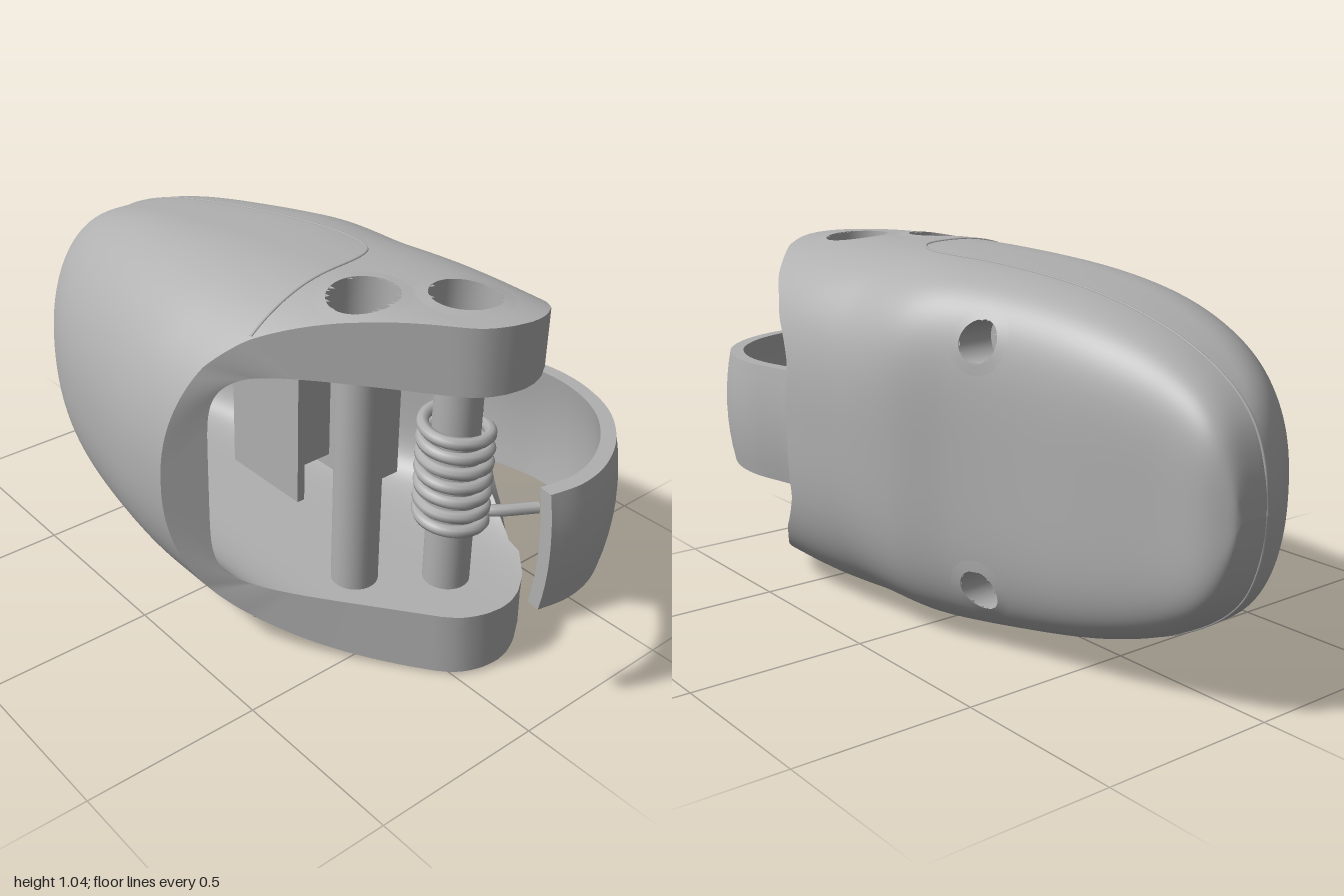
import * as THREE from 'three';
import { toCreasedNormals } from 'three/addons/utils/BufferGeometryUtils.js';

const CY = 0.52;                      // mid height of the body
const COLS = 200, ROWS = 110;
const { smoothstep } = THREE.MathUtils;

// Lookup along a table of [position, value] pairs
function table(pairs, Kind) {
  const f = new Kind(pairs.map(p => p[0]), pairs.map(p => p[1]), 1, [0]);
  return v => f.evaluate(v)[0];
}
// Profiles along z, spaced by the root of the distance from the rounded tail
function profile(pairs) {
  const f = table(pairs.map(([z, v]) => [Math.sqrt(z + 1), v]), THREE.CubicInterpolant);
  return z => f(Math.sqrt(Math.max(0, z + 1)));
}
const leftX = profile([[-1, 0.02], [-0.96, -0.08], [-0.86, -0.21], [-0.7, -0.33], [-0.5, -0.42],
  [-0.19, -0.49], [0, -0.517], [0.15, -0.52], [0.8, -0.52]]);
const rightX = profile([[-1, 0.11], [-0.98, 0.14], [-0.93, 0.17], [-0.8, 0.2], [-0.6, 0.25], [-0.35, 0.305],
  [-0.2, 0.35], [-0.03, 0.42], [0.2, 0.465], [0.4, 0.488], [0.8, 0.49]]);
const halfH = profile([[-1, 0], [-0.985, 0.12], [-0.95, 0.21], [-0.8, 0.34], [-0.6, 0.42], [-0.4, 0.465],
  [-0.1, 0.5], [0.3, 0.518], [0.8, 0.512]]);
// Plan outline of the front: slanted on the right, rounded prong tips
const frontZ = table([[-0.52, 0.15], [-0.42, 0.21], [-0.34, 0.29], [-0.03, 0.7], [0, 0.73], [0.03, 0.748],
  [0.07, 0.763], [0.12, 0.77], [0.16, 0.765], [0.2, 0.75], [0.26, 0.71], [0.37, 0.58], [0.44, 0.46],
  [0.47, 0.38], [0.5, 0.38]], THREE.LinearInterpolant);

const section = z => ({ c: (leftX(z) + rightX(z)) / 2, a: (rightX(z) - leftX(z)) / 2, h: halfH(z) });
// Round on one side, flatter on the other, flattest towards the tail
const power = (u, z) => (u < 0 ? 2.2 : 4.2 - 1.2 * smoothstep(z, -0.25, 0.2));

// Unit cross-section at an angle
function unit(phi, z) {
  const c = Math.cos(phi), s = Math.sin(phi), p = power(c, z);
  const r = Math.pow(Math.abs(c) ** p + Math.abs(s) ** p, -1 / p);
  return [c * r, s * r];
}
function surfaceY(x, z, side) {
  const { c, a, h } = section(z), u = Math.max(-1, Math.min(1, (x - c) / a)), p = power(u, z);
  return CY + side * h * (1 - Math.abs(u) ** p) ** (1 / p);
}
function surfaceX(y, z) {
  const { c, a, h } = section(z), v = Math.min(1, Math.abs(y - CY) / h), p = power(1, z);
  return c + a * (1 - v ** p) ** (1 / p);
}

// Surface from closed rows of points, optionally dropping some triangles
function grid(rows, cols, point, drop) {
  const pos = [], index = [];
  for (let i = 0; i <= rows; i++) for (let j = 0; j < cols; j++) pos.push(...point(i, j));
  const add = (...t) => {
    const mid = [0, 1, 2].map(k => (pos[t[0] * 3 + k] + pos[t[1] * 3 + k] + pos[t[2] * 3 + k]) / 3);
    if (!drop || !drop(mid)) index.push(...t);
  };
  for (let i = 0; i < rows; i++) for (let j = 0; j < cols; j++) {
    const k = (j + 1) % cols, a = i * cols + j, b = i * cols + k, c = a + cols, d = b + cols;
    add(a, b, c);
    add(b, d, c);
  }
  const g = new THREE.BufferGeometry();
  g.setAttribute('position', new THREE.Float32BufferAttribute(pos, 3));
  g.setIndex(index);
  g.computeVertexNormals();
  return g;
}

// Screw recesses: two through each prong and two in the flat side
const holes = [];
for (const side of [1, -1]) {
  holes.push({ side, u: -0.085, z: 0.42, r: 0.093, floor: CY + side * 0.41 });
  holes.push({ side, u: 0.11, z: 0.575, r: 0.093, floor: CY + side * 0.41 });
  holes.push({ lateral: true, side, u: CY + side * 0.33, z: -0.28, r: 0.055, floor: 0.22 });
}
const inHole = p => holes.some(o =>
  (o.lateral ? p[0] > 0.15 : (p[1] - CY) * o.side > 0.3) &&
  Math.hypot(p[o.lateral ? 1 : 0] - o.u, p[2] - o.z) < o.r + 0.002);
// Point around a recess, lifted slightly off the body surface
function aroundHole(o, radius, angle, lift) {
  const u = o.u + radius * Math.cos(angle), z = o.z + radius * Math.sin(angle);
  return o.lateral ? [surfaceX(u, z) + lift, u, z] : [u, surfaceY(u, z, o.side) + o.side * lift, z];
}

export function createModel() {
  const model = new THREE.Group();
  model.name = 'clipPod';
  const grey = new THREE.MeshStandardMaterial({ color: 0xb0b0b0, side: THREE.DoubleSide });
  grey.name = 'grey plastic';
  const add = (name, geometry, x = 0, y = 0, z = 0, parent = model) => {
    const m = new THREE.Mesh(geometry, grey);
    m.name = name;
    m.position.set(x, y, z);
    parent.add(m);
    return m;
  };

  // Outer shell and cavity share columns, so the rim can join their front edges
  const wall = (u, z) => (u < 0 ? 0.105 : 0.09 - 0.05 * smoothstep(z, 0, 0.3));
  const columns = [];
  for (let j = 0; j < COLS; j++) {
    const phi = j / COLS * Math.PI * 2, [u, v] = unit(phi, 0.3), s = section(0.3);
    const xo = s.c + s.a * u, xi = s.c + (s.a - wall(u, 0.3)) * u;
    columns.push({ phi, u, v, end: frontZ(xo), innerEnd: frontZ(xi > 0.33 ? xo : xi) });
  }
  const outer = (t, j) => {
    const { phi, end } = columns[j], z = -1 + (end + 1) * t ** 1.3, s = section(z), [u, v] = unit(phi, z);
    return [s.c + s.a * u, CY + s.h * v, z];
  };
  const inner = (t, j) => {
    const { u, v, innerEnd } = columns[j], z = -0.85 + (innerEnd + 0.85) * t, s = section(z);
    const k = Math.min(1, t * 20), p = u < 0 ? 6 : 5;
    const y = Math.sign(v) * Math.max(0, 1 - Math.abs(u) ** p) ** (1 / p);
    return [s.c + (s.a - wall(u, z)) * u * k, CY + Math.min(0.33, s.h - 0.07) * y * k, z];
  };
  add('outerShell', grid(ROWS, COLS, (i, j) => outer(i / ROWS, j), inHole));
  add('cavity', grid(40, COLS, (i, j) => inner(1 - i / 40, j)));
  add('frontRim', grid(1, COLS, (i, j) => (i ? inner(1, j) : outer(1, j))));

  // Recesses with a collar, a wall and a cross-slotted screw head
  for (const o of holes) {
    const angle = j => j / 48 * Math.PI * 2;
    add('recessCollar', grid(2, 48, (i, j) => aroundHole(o, o.r + 0.015 * i, angle(j), 0.002 - 0.001 * i)));
    add('recessWall', grid(1, 48, (i, j) => {
      const p = aroundHole(o, o.r, angle(j), 0.002);
      if (i) p[o.lateral ? 0 : 1] = o.floor;
      return p;
    }));
    const screw = new THREE.Group();
    screw.name = 'screw';
    add('screwHead', new THREE.CylinderGeometry(o.r, o.r, 0.03, 32), 0, -0.015, 0, screw);
    for (const turn of [0, 1]) {
      const bar = add('screwCross', new THREE.BoxGeometry(o.r * 1.1, 0.02, o.r * 0.28), 0, 0.005, 0, screw);
      bar.rotation.y = turn * Math.PI / 2;
    }
    if (o.lateral) {
      screw.position.set(o.floor, o.u, o.z);
      screw.rotation.z = -Math.PI / 2;
    } else {
      screw.position.set(o.u, o.floor, o.z);
      if (o.side < 0) screw.rotation.x = Math.PI;
    }
    model.add(screw);
  }

  // Fine seam between the domed cover and the base
  const plan = new THREE.SplineCurve([[0.025, -0.985], [0.06, -0.5], [0.1, -0.2], [0.14, 0.06], [0.125, 0.19],
    [0.05, 0.25], [-0.15, 0.272], [-0.33, 0.29]].map(p => new THREE.Vector2(...p)));
  for (const side of [1, -1]) {
    const path = [new THREE.Vector3(0.025, CY, -0.998)];
    for (const p of plan.getPoints(60)) path.push(new THREE.Vector3(p.x, surfaceY(p.x, p.y, side), p.y));
    add('coverSeam', new THREE.TubeGeometry(new THREE.CatmullRomCurve3(path), 160, 0.004, 6));
  }

  // Hinge pins between the prongs
  for (const [x, z] of [[-0.085, 0.42], [0.11, 0.575]])
    add('hingePin', new THREE.CylinderGeometry(0.064, 0.064, 0.68, 40), x, CY, z);

  // Torsion spring with its two arms
  const coil = [new THREE.Vector3(0.33, 0.38, 0.69), new THREE.Vector3(0.22, 0.38, 0.62)];
  for (let i = 0; i <= 112; i++) {
    const a = i / 16 * Math.PI * 2;
    coil.push(new THREE.Vector3(0.11 + 0.088 * Math.cos(a), 0.38 + 0.31 * i / 112, 0.575 + 0.088 * Math.sin(a)));
  }
  coil.push(new THREE.Vector3(0.21, 0.705, 0.42), new THREE.Vector3(0.22, 0.71, 0.22));
  add('spring', new THREE.TubeGeometry(new THREE.CatmullRomCurve3(coil), 420, 0.017, 8));

  // Curved lever springing from the flat side, slightly crowned across its width
  const arc = new THREE.SplineCurve([[0.465, 0.26], [0.488, 0.4], [0.516, 0.55], [0.505, 0.68], [0.45, 0.81],
    [0.35, 0.915], [0.23, 0.98], [0.12, 1], [0.02, 0.985]].map(p => new THREE.Vector2(...p)));
  const outside = arc.getPoints(48);
  const inside = outside.map((p, i) => {
    const t = arc.getTangent(i / 48);
    return new THREE.Vector2(p.x - t.y * 0.04, p.y + t.x * 0.04);
  });
  const lever = new THREE.ExtrudeGeometry(new THREE.Shape([...outside, ...inside.reverse()]),
    { depth: 0.335, steps: 8, bevelEnabled: false });
  lever.rotateX(Math.PI / 2);
  const lp = lever.attributes.position;
  for (let i = 0; i < lp.count; i++) {
    const k = 1 - 0.04 * ((lp.getY(i) + 0.1675) / 0.1675) ** 2;
    lp.setX(i, 0.1 + (lp.getX(i) - 0.1) * k);
    lp.setZ(i, 0.5 + (lp.getZ(i) - 0.5) * k);
  }
  add('lever', toCreasedNormals(lever, 0.6), 0, 0.69, 0);

  // Ribs and blocks inside the cavity
  add('innerRib', new THREE.BoxGeometry(0.05, 0.4, 0.2), -0.255, CY, -0.58);
  add('innerBlock', new THREE.BoxGeometry(0.14, 0.49, 0.25), 0.2, CY, 0.08);
  add('innerPlate', new THREE.BoxGeometry(0.025, 0.57, 0.3), -0.01, CY, -0.05);
  add('innerBridge', new THREE.BoxGeometry(0.16, 0.4, 0.12), 0.07, CY, 0);
  return model;
}
